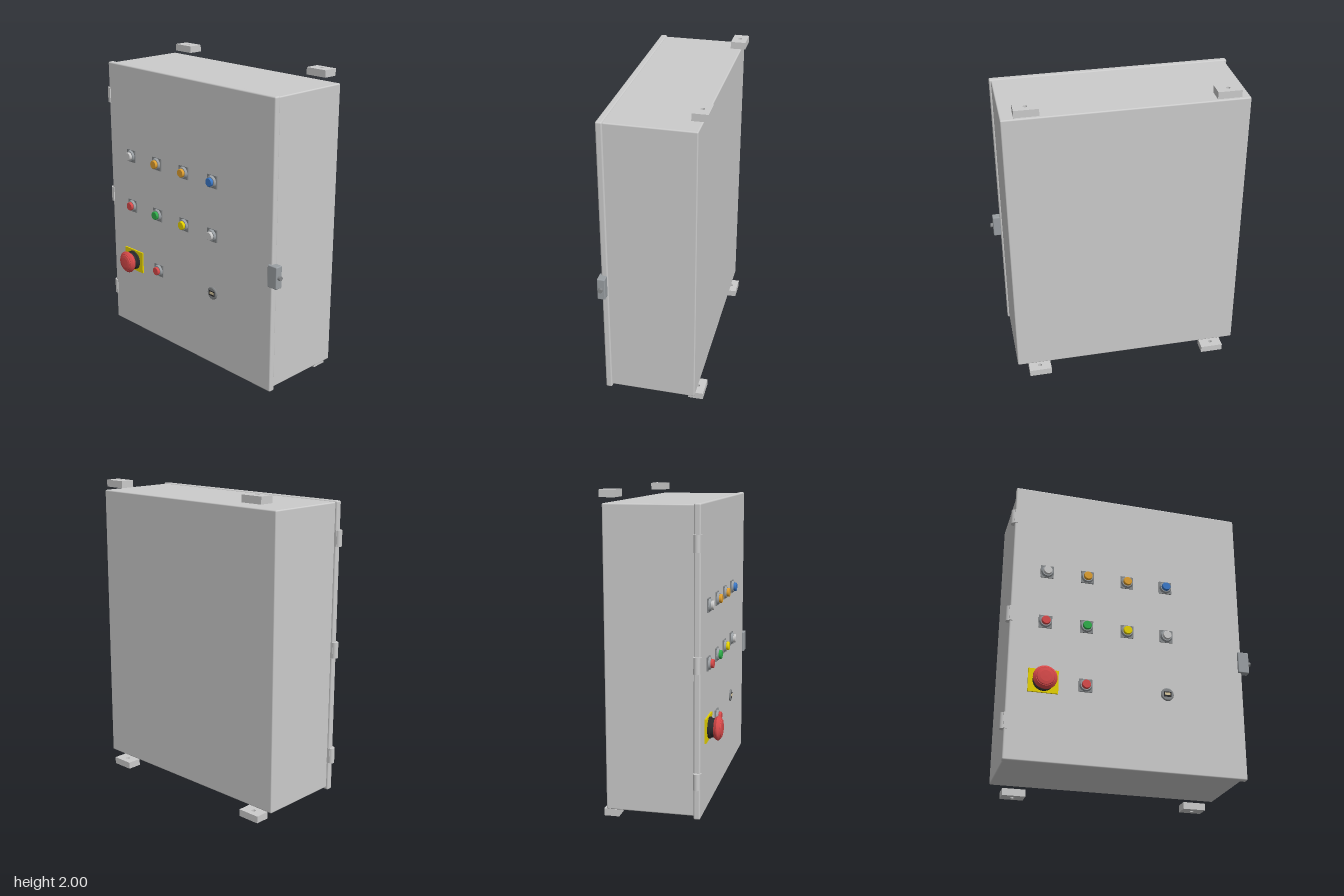
import * as THREE from 'three';
import { RoundedBoxGeometry } from 'three/addons/geometries/RoundedBoxGeometry.js';

const mat = (color = 0xcccccc) => new THREE.MeshStandardMaterial({ color });
const grey = mat(), plateGrey = mat(0x85888a), steel = mat(0x9a9fa3), black = mat(0x2b2b2d);
const red = mat(0xd94a4a), yellow = mat(0xe6d200), amber = mat(0xe0a030), green = mat(0x2fae4a), blue = mat(0x3a78c8);
const FACE = 0.265; // z of the door's front face

function add(parent, name, geometry, material, x = 0, y = 0, z = 0) {
  const mesh = new THREE.Mesh(geometry, material);
  mesh.name = name;
  mesh.position.set(x, y, z);
  parent.add(mesh);
  return mesh;
}

function group(parent, name, x, y, z) {
  const g = new THREE.Group();
  g.name = name;
  g.position.set(x, y, z);
  parent.add(g);
  return g;
}

// Rounded box given by its limits on each axis
function block(parent, name, [x0, x1], [y0, y1], [z0, z1], r, material = grey) {
  return add(parent, name, new RoundedBoxGeometry(x1 - x0, y1 - y0, z1 - z0, 3, r), material,
    (x0 + x1) / 2, (y0 + y1) / 2, (z0 + z1) / 2);
}

// Turned part along +z, from [radius, z] points; doubled points keep edges sharp
function turned(points, segments = 40) {
  const profile = [];
  points.forEach(([r, z], i) => {
    profile.push(new THREE.Vector2(r, z));
    if (i > 0 && i < points.length - 1) profile.push(new THREE.Vector2(r, z));
  });
  return new THREE.LatheGeometry(profile, segments).rotateX(Math.PI / 2);
}

// Wall-mounting tab with a screw hole, lying flat
function tabGeometry() {
  const w = 0.074, d = 0.048;
  const shape = new THREE.Shape([[-w, -d], [w, -d], [w, d], [-w, d]].map(p => new THREE.Vector2(...p)));
  const hole = new THREE.Path();
  hole.absarc(0, 0, 0.013, 0, Math.PI * 2, true);
  shape.holes.push(hole);
  return new THREE.ExtrudeGeometry(shape, { depth: 0.045, bevelEnabled: false, curveSegments: 16 }).rotateX(-Math.PI / 2);
}

// Square bezel, collar and round lens
function pushButton(parent, name, x, y, lens) {
  const g = group(parent, name, x, y, FACE);
  add(g, 'bezel', new THREE.BoxGeometry(0.084, 0.084, 0.008), plateGrey, 0, 0, 0.004);
  add(g, 'collar', turned([[0.04, 0.008], [0.034, 0.021], [0.027, 0.021]]), steel);
  add(g, 'lens', turned([[0.028, 0.018], [0.028, 0.034], [0.025, 0.038], [0, 0.038]]), lens);
}

export function createModel() {
  const model = new THREE.Group();
  model.name = 'controlCabinet';

  // Enclosure and door
  block(model, 'enclosure', [-0.768, 0.728], [0.08, 1.925], [-0.318, 0.232], 0.008);
  block(model, 'door', [-0.782, 0.74], [0.063, 1.932], [0.224, FACE], 0.01);

  // Mounting tabs above and below
  const tab = tabGeometry();
  for (const x of [-0.618, 0.58])
    for (const y of [0.005, 1.955]) add(model, 'mountingTab', tab, grey, x, y, -0.31);

  // Hinges on the door edge
  for (const y of [0.303, 1.005, 1.707]) {
    const hinge = group(model, 'hinge', -0.785, y, 0.245);
    add(hinge, 'barrel', new THREE.CylinderGeometry(0.021, 0.021, 0.1, 24), grey);
    add(hinge, 'leaf', new THREE.BoxGeometry(0.022, 0.1, 0.05), grey, 0.01, 0, 0.002);
  }

  // Latch and its side knob
  block(model, 'latch', [0.714, 0.788], [0.778, 0.922], [0.23, 0.28], 0.006, steel);
  add(model, 'latchKnob', new THREE.CylinderGeometry(0.014, 0.014, 0.022, 24).rotateZ(Math.PI / 2), plateGrey, 0.794, 0.85, 0.256);

  // Buttons and lights
  const columns = [-0.56, -0.297, -0.034, 0.228];
  const rows = [[1.325, [grey, amber, amber, blue]], [0.972, [red, green, yellow, grey]]];
  for (const [y, lenses] of rows)
    lenses.forEach((lens, i) => pushButton(model, 'pushButton', columns[i], y, lens));
  pushButton(model, 'pilotLight', columns[1], 0.573, red);

  // Emergency stop
  const stop = group(model, 'emergencyStop', columns[0], 0.573, FACE);
  add(stop, 'backPlate', new THREE.BoxGeometry(0.187, 0.15, 0.01), yellow, 0, 0, 0.005);
  add(stop, 'base', turned([[0.066, 0.01], [0.066, 0.022], [0.058, 0.026], [0.058, 0.06]]), black);
  add(stop, 'mushroomHead', turned([
    [0, 0.046], [0.063, 0.046], [0.075, 0.064], [0.074, 0.072], [0.06, 0.085],
    [0.056, 0.085], [0.053, 0.09], [0.035, 0.094], [0, 0.095],
  ]), red);

  // Key lock
  const lock = group(model, 'keyLock', columns[3], 0.573, FACE);
  add(lock, 'lockRing', turned([[0.042, 0], [0.042, 0.005], [0.036, 0.009], [0, 0.009]]), plateGrey);
  add(lock, 'lockRecess', new THREE.BoxGeometry(0.048, 0.034, 0.004), black, 0, 0, 0.009);
  add(lock, 'lockInsert', new THREE.BoxGeometry(0.036, 0.016, 0.004), mat(0xd8c9a0), 0, 0.002, 0.011);

  return model;
}
